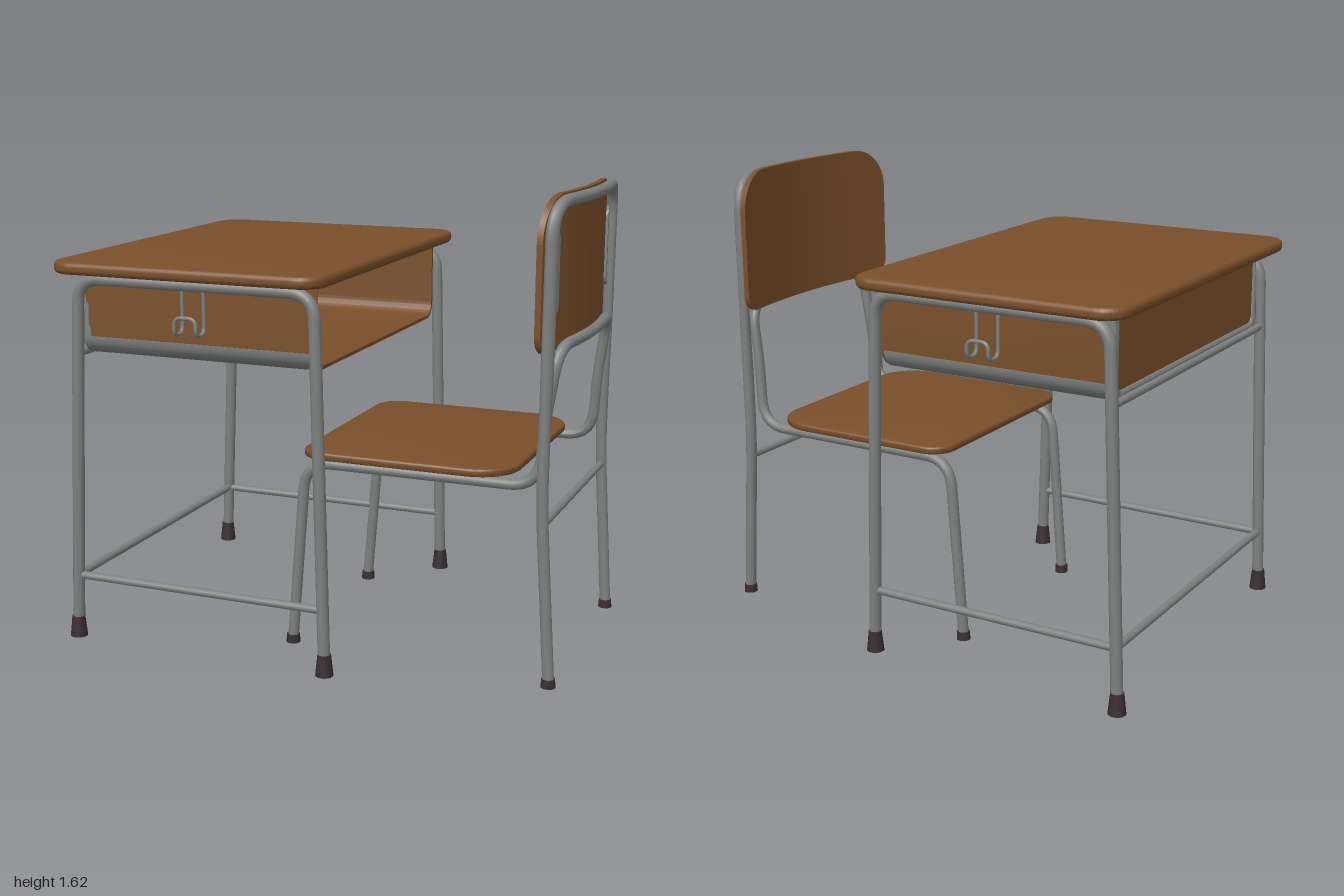
import * as THREE from 'three';
import { toCreasedNormals } from 'three/addons/utils/BufferGeometryUtils.js';

const V = (x, y, z) => new THREE.Vector3(x, y, z);

export function createModel() {
  const mat = (name, color) => {
    const m = new THREE.MeshStandardMaterial({ color });
    m.name = name;
    return m;
  };
  const wood = mat('wood', 0x7a4f2b);
  const steel = mat('steel', 0x7d807e);
  const rubber = mat('rubber', 0x3a2d31);

  const add = (parent, name, geo, material, x = 0, y = 0, z = 0) => {
    const m = new THREE.Mesh(geo, material);
    m.name = name;
    m.position.set(x, y, z);
    parent.add(m);
    return m;
  };

  // Polyline with rounded corners, swept as a round tube
  const tube = (pts, radius, corner = 0.09, sides = 12) => {
    const path = new THREE.CurvePath();
    let from = pts[0];
    for (let i = 1; i < pts.length - 1; i++) {
      const p = pts[i];
      const toward = (q) => {
        const d = p.distanceTo(q);
        return p.clone().lerp(q, Math.min(corner, d * 0.49) / d);
      };
      const a = toward(pts[i - 1]), b = toward(pts[i + 1]);
      path.add(new THREE.LineCurve3(from, a));
      path.add(new THREE.QuadraticBezierCurve3(a, p, b));
      from = b;
    }
    path.add(new THREE.LineCurve3(from, pts[pts.length - 1]));
    return new THREE.TubeGeometry(path, pts.length > 2 ? 170 : 1, radius, sides);
  };
  const bar = (a, b, r) => tube([a, b], r);
  // Half a path plus its mirror image across x = 0
  const mirrored = (half) => [...half, ...half.map((p) => V(-p.x, p.y, p.z)).reverse()];

  // Rectangle between y0 and y1 with separate top and bottom corner radii
  const rounded = (hw, y0, y1, rt, rb) => {
    const s = new THREE.Shape(), h = Math.PI / 2;
    s.absarc(hw - rb, y0 + rb, rb, -h, 0);
    s.absarc(hw - rt, y1 - rt, rt, 0, h);
    s.absarc(-hw + rt, y1 - rt, rt, h, 2 * h);
    s.absarc(-hw + rb, y0 + rb, rb, 2 * h, 3 * h);
    return s;
  };
  // U-shaped wall section, open at the top
  const channel = (hw, y0, y1, r, t) => {
    const s = new THREE.Shape(), h = Math.PI / 2, ri = r - t;
    s.moveTo(-hw, y1);
    s.absarc(-hw + r, y0 + r, r, 2 * h, 3 * h);
    s.absarc(hw - r, y0 + r, r, 3 * h, 4 * h);
    s.lineTo(hw, y1);
    s.lineTo(hw - t, y1);
    s.absarc(hw - r, y0 + r, ri, 0, -h, true);
    s.absarc(-hw + r, y0 + r, ri, -h, -2 * h, true);
    s.lineTo(-hw + t, y1);
    return s;
  };
  const extrude = (shape, depth, bevel = 0) => {
    const g = new THREE.ExtrudeGeometry(shape, {
      depth: depth - 2 * bevel, curveSegments: 10, bevelEnabled: bevel > 0,
      bevelSize: bevel, bevelThickness: bevel, bevelOffset: -bevel, bevelSegments: 4,
    });
    g.translate(0, 0, bevel);
    return toCreasedNormals(g, 0.6);
  };
  const slab = (hw, hd, h, rBack, rFront, bevel) =>
    extrude(rounded(hw, -hd, hd, rBack, rFront), h, bevel).rotateX(-Math.PI / 2);

  // ---------- desk ----------
  const desk = new THREE.Group();
  desk.name = 'desk';
  desk.position.x = 0.007;
  add(desk, 'deskTop', slab(0.695, 0.5, 0.042, 0.09, 0.09, 0.016), wood, 0, 1.318, -0.253);

  // Open tray with steel rounded edges
  add(desk, 'trayWalls', extrude(channel(0.574, 1.032, 1.318, 0.06, 0.012), 0.85), wood, 0, 0, -0.66);
  add(desk, 'trayBack', extrude(rounded(0.56, 1.04, 1.318, 0.001, 0.05), 0.014), wood, 0, 0, -0.674);
  add(desk, 'trayBackRim', extrude(channel(0.578, 1.028, 1.318, 0.062, 0.036), 0.04, 0.014), steel, 0, 0, -0.684);
  for (const s of [-1, 1]) {
    const edge = new THREE.Shape(), a0 = s < 0 ? Math.PI : 1.5 * Math.PI;
    const cx = s * 0.514;
    edge.absarc(cx, 1.092, 0.064, a0, a0 + Math.PI / 2);
    edge.absarc(cx, 1.092, 0.059, a0 + Math.PI / 2, a0, true);
    add(desk, 'trayEdge', extrude(edge, 0.83), steel, 0, 0, -0.65);

    // Side frame: two legs joined by a top rail
    const x = s * 0.602;
    add(desk, 'deskSideFrame', tube([
      V(x, 0.02, -0.725), V(x, 1.295, -0.678), V(x, 1.295, 0.195), V(x, 0.02, 0.23),
    ], 0.021), steel);
    add(desk, 'deskSideStretcher', bar(V(x, 0.23, -0.717), V(x, 0.23, 0.223), 0.014), steel);
    for (const z of [-0.725, 0.23]) {
      add(desk, 'deskFoot', new THREE.CylinderGeometry(0.023, 0.031, 0.075, 16), rubber, x, 0.0375, z);
    }

    // Bag hook: a double wire bent outwards and joined at its tip
    const wire = [[0, 1.29], [0, 1.135], [0.06, 1.135], [0.06, 1.195]];
    const side = (z) => wire.map(([o, y]) => V(x + s * o, y, z));
    add(desk, 'bagHook', tube([...side(-0.2), ...side(-0.28).reverse()], 0.007, 0.028, 8), steel);
  }
  add(desk, 'deskBackStretcher', bar(V(-0.602, 0.23, -0.717), V(0.602, 0.23, -0.717), 0.014), steel);
  add(desk, 'trayBackBar', bar(V(-0.602, 1.035, -0.688), V(0.602, 1.035, -0.688), 0.014), steel);

  // ---------- chair ----------
  const chair = new THREE.Group();
  chair.name = 'chair';
  chair.position.x = 0.01;
  add(chair, 'seat', slab(0.425, 0.375, 0.028, 0.09, 0.15, 0.009), wood, 0, 0.692, 0.427);

  // Bows the back of the chair rearwards in the middle
  const bow = (geo) => {
    const p = geo.attributes.position;
    for (let i = 0; i < p.count; i++) {
      const k = THREE.MathUtils.smoothstep(p.getY(i), 0.85, 1.12);
      p.setZ(i, p.getZ(i) + 0.045 * k * (1 - (p.getX(i) / 0.42) ** 2));
    }
    geo.computeVertexNormals();
    return geo;
  };

  // Front legs, seat rails and lower back arch in one tube
  add(chair, 'seatFrame', bow(tube(mirrored([
    V(-0.365, 0.02, 0.01), V(-0.365, 0.667, 0.06), V(-0.365, 0.667, 0.885), V(-0.345, 1.13, 0.915),
  ]), 0.019, 0.1)), steel);
  // Rear legs and upper back arch
  add(chair, 'backFrame', bow(tube(mirrored([
    V(-0.41, 0.02, 0.95), V(-0.41, 0.62, 0.91), V(-0.41, 1.595, 0.915),
  ]), 0.02, 0.12)), steel);
  add(chair, 'rearCrossbar', bar(V(-0.41, 0.555, 0.915), V(0.41, 0.555, 0.915), 0.013), steel);

  // Backrest: a thin box whose outline is rounded by rule, then bowed
  const back = new THREE.BoxGeometry(2, 2, 0.02, 40, 1, 1);
  const bp = back.attributes.position, half = 0.43;
  const drop = (x, r) => {
    const t = Math.max(0, Math.abs(x) - (half - r)) / r;
    return r * (1 - Math.sqrt(Math.max(0, 1 - t * t)));
  };
  for (let i = 0; i < bp.count; i++) {
    const x = half * Math.sin(bp.getX(i) * Math.PI / 2);
    const y = bp.getY(i) > 0 ? 1.615 - drop(x, 0.15) : 1.11 + drop(x, 0.06);
    bp.setXYZ(i, x, y, bp.getZ(i) + 0.885);
  }
  add(chair, 'backrest', bow(back), wood);

  for (const s of [-1, 1]) {
    const plate = extrude(rounded(0.045, 1.23, 1.51, 0.035, 0.035), 0.009);
    plate.translate(s * 0.375, 0, 0.897);
    add(chair, 'backrestBracket', bow(plate), steel);
    add(chair, 'seatMount', new THREE.BoxGeometry(0.045, 0.012, 0.5), steel, s * 0.335, 0.686, 0.37);
    for (const [x, z] of [[0.365, 0.01], [0.41, 0.95]]) {
      add(chair, 'chairFoot', new THREE.CylinderGeometry(0.023, 0.025, 0.03, 16), rubber, s * x, 0.015, z);
    }
  }

  // The set stands turned on its base
  const set = new THREE.Group();
  set.name = 'deskAndChair';
  set.rotation.y = 0.75;
  set.add(desk, chair);
  const root = new THREE.Group();
  root.name = 'schoolDeskSet';
  root.add(set);
  return root;
}
